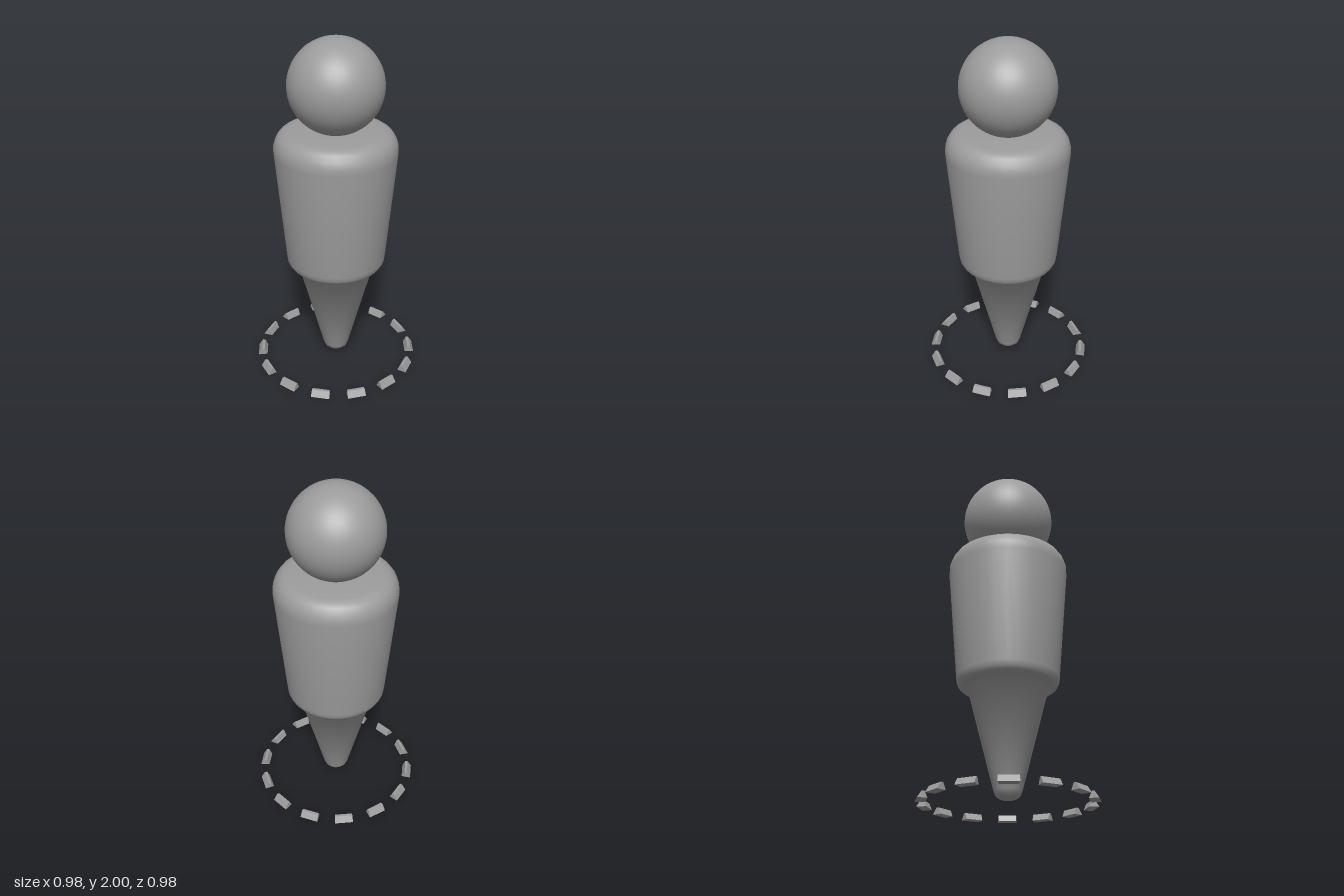
import * as THREE from 'three';

const grey = new THREE.MeshStandardMaterial({ color: 0x9c9c9c });

function addMesh(parent, name, geometry) {
  const mesh = new THREE.Mesh(geometry, grey);
  mesh.name = name;
  parent.add(mesh);
  return mesh;
}

// Profile of [radius, height] pairs, bottom to top, spun about y.
// Each point's normal is the plain average of its two neighbouring bands.
function lathe(profile, sides) {
  const points = profile.map(([r, y]) => new THREE.Vector2(r, y));
  const geometry = new THREE.LatheGeometry(points, sides);
  const bands = points.slice(1).map((p, i) =>
    new THREE.Vector2(p.y - points[i].y, points[i].x - p.x).normalize());
  const normals = points.map((_, i) =>
    (bands[i - 1] ?? bands[i]).clone().add(bands[i] ?? bands[i - 1]).normalize());
  const n = geometry.attributes.normal;
  for (let i = 0; i < n.count; i++) {
    const phi = Math.floor(i / points.length) / sides * Math.PI * 2;
    const { x, y } = normals[i % points.length];
    n.setXYZ(i, x * Math.sin(phi), y, x * Math.cos(phi));
  }
  return geometry;
}

// One dash of the ring: a box bent into a mitred wedge with sloping sides
function dashGeometry(angle) {
  const geometry = new THREE.BoxGeometry(1, 1, 1);
  const p = geometry.attributes.position;
  for (let i = 0; i < p.count; i++) {
    const outer = p.getX(i) > 0, top = p.getY(i) > 0;
    const r = outer ? (top ? 0.465 : 0.488) : (top ? 0.45 : 0.433);
    const a = p.getZ(i) > 0 ? angle : 0;
    p.setXYZ(i, r * Math.cos(a), top ? 0.036 : 0, r * Math.sin(a));
  }
  geometry.computeVertexNormals();
  return geometry;
}

export function createModel() {
  const model = new THREE.Group();
  model.name = 'pawnFigure';

  // Head
  addMesh(model, 'head', new THREE.SphereGeometry(0.267, 40, 28)).position.y = 1.733;

  // Body in one skin: rounded tip, tapered legs, soft hem, barrel torso, round shoulders
  addMesh(model, 'body', lathe([
    [0, 0.02], [0.03, 0.023], [0.052, 0.031], [0.068, 0.046], [0.077, 0.067],
    [0.222, 0.627], [0.252, 0.64], [0.274, 0.655], [0.286, 0.674], [0.29, 0.7],
    [0.348, 1.36], [0.347, 1.395], [0.336, 1.43], [0.316, 1.459], [0.29, 1.476],
    [0.26, 1.482], [0, 1.482],
  ], 32));

  // Broken ring on the ground: every other one of 28 segments
  const ring = new THREE.Group();
  ring.name = 'groundRing';
  model.add(ring);
  const step = (Math.PI * 2) / 28;
  const dash = dashGeometry(step);
  for (let i = 0; i < 14; i++) addMesh(ring, 'ringDash', dash).rotation.y = -2 * i * step;

  return model;
}
